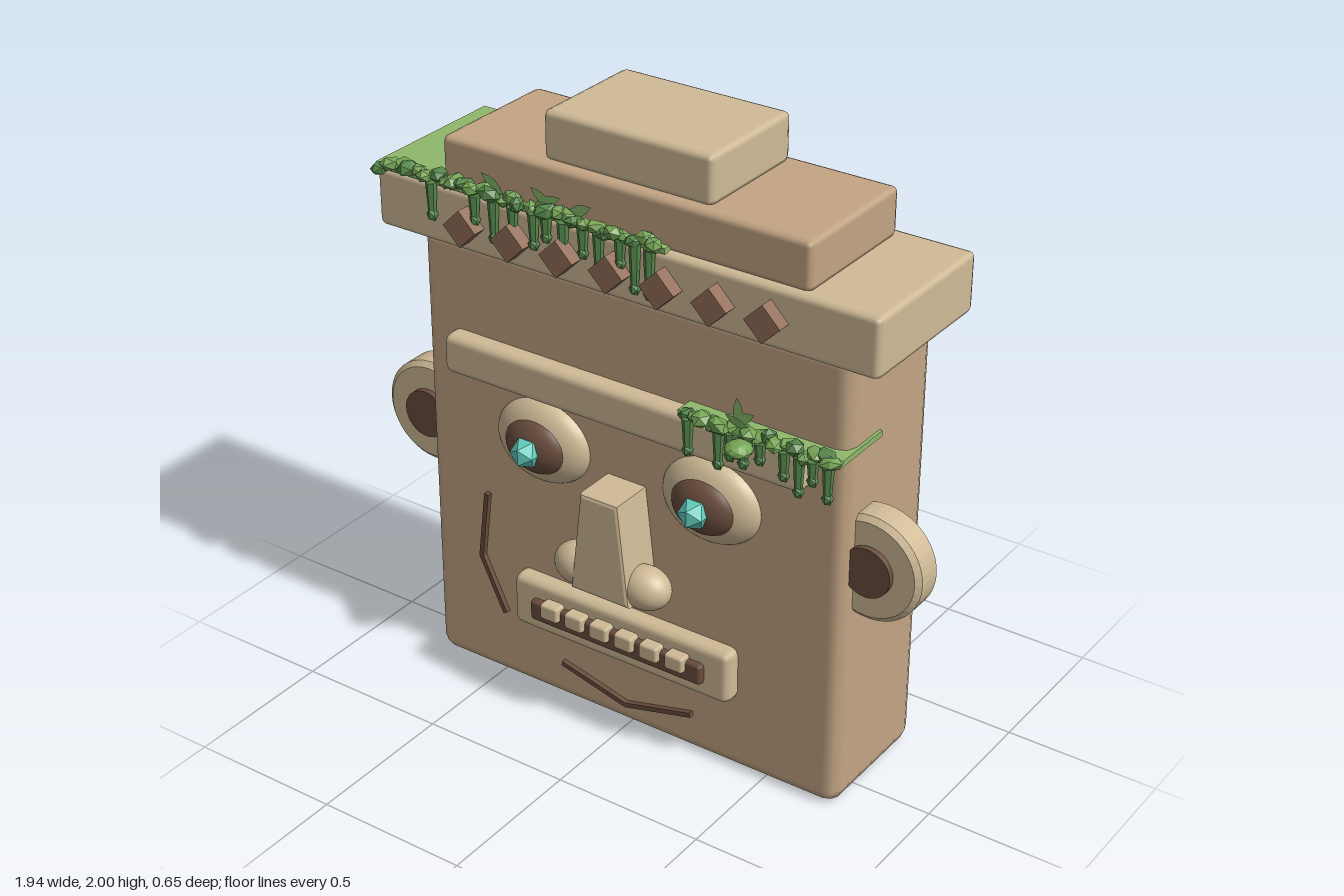
import * as THREE from 'three';
import { RoundedBoxGeometry } from 'three/addons/geometries/RoundedBoxGeometry.js';

const mat = (color, flatShading = false) => {
  const m = new THREE.MeshStandardMaterial({ flatShading });
  m.color.set(color);
  return m;
};
const clay = mat(0xc3a584), stone = mat(0xd0bb97), stoneFlat = mat(0xd0bb97, true);
const brown = mat(0x6a4d3d), diamondBrown = mat(0x936f59, true), gem = mat(0x62cdbd, true);
const mossTop = mat(0x8fb76b), moss = mat(0x76a656, true), mossDark = mat(0x54864a, true);
const leafMat = mat(0x86b968, true);
leafMat.side = THREE.DoubleSide;

export function createModel() {
  const root = new THREE.Group();

  const add = (name, geo, material, x = 0, y = 0, z = 0, parent = root) => {
    const m = new THREE.Mesh(geo, material);
    m.name = name;
    m.position.set(x, y, z);
    parent.add(m);
    return m;
  };
  // Chamfered block given by its limits on each axis
  const block = (name, material, [x0, x1], [y0, y1], [z0, z1], r = 0.02) =>
    add(name, new RoundedBoxGeometry(x1 - x0, y1 - y0, z1 - z0, 1, r), material,
      (x0 + x1) / 2, (y0 + y1) / 2, (z0 + z1) / 2);
  const group = (name) => {
    const g = new THREE.Group();
    g.name = name;
    root.add(g);
    return g;
  };
  let seed = 7;
  const rand = (a, b) => {
    seed = (seed * 16807) % 2147483647;
    return a + (b - a) * (seed / 2147483647);
  };

  // Head slab and stepped hat
  block('head', clay, [-0.755, 0.755], [0, 1.52], [-0.315, 0.145], 0.045);
  block('hatBrim', stone, [-0.87, 0.87], [1.51, 1.7], [-0.32, 0.2]);
  block('hatMiddle', clay, [-0.635, 0.635], [1.695, 1.85], [-0.285, 0.175]);
  block('hatTop', stone, [-0.29, 0.29], [1.845, 2], [-0.26, 0.14]);

  // Row of diamonds on the brim
  const diamonds = group('brimDiamonds');
  for (let i = 0; i < 7; i++) {
    add('diamond', new THREE.BoxGeometry(0.084, 0.084, 0.06), diamondBrown,
      -0.525 + i * 0.175, 1.603, 0.215, diamonds).rotation.z = Math.PI / 4;
  }

  // Brow and mouth with teeth
  block('brow', stone, [-0.64, 0.64], [1.08, 1.21], [0.1, 0.205], 0.025);
  block('mouth', stone, [-0.4, 0.405], [0.26, 0.44], [0.1, 0.2], 0.025);
  block('mouthSlot', brown, [-0.32, 0.32], [0.312, 0.383], [0.15, 0.222], 0.012);
  for (let i = 0; i < 6; i++) {
    const x = -0.235 + i * 0.0935;
    block('tooth', stone, [x - 0.034, x + 0.034], [0.343, 0.397], [0.17, 0.24], 0.01);
  }

  // Eyes and ears, mirrored
  const earProfile = [[0, -0.055], [0.155, -0.055], [0.172, -0.04], [0.172, 0.04], [0.155, 0.055], [0, 0.055]]
    .map(([r, h]) => new THREE.Vector2(r, h));
  for (const s of [1, -1]) {
    const eye = group(s > 0 ? 'leftEye' : 'rightEye');
    const ball = new THREE.SphereGeometry(1, 32, 20);
    add('eyeSocket', ball, stone, s * 0.305, 0.923, 0.14, eye).scale.set(0.172, 0.138, 0.075);
    add('iris', ball, brown, s * 0.305, 0.923, 0.175, eye).scale.set(0.116, 0.094, 0.065);
    add('pupilGem', new THREE.IcosahedronGeometry(0.05), gem, s * 0.305, 0.923, 0.237, eye);

    const ear = group(s > 0 ? 'leftEar' : 'rightEar');
    const rim = add('earRim', new THREE.LatheGeometry(earProfile, 40), stoneFlat, s * 0.8, 0.835, 0.033, ear);
    rim.rotation.x = Math.PI / 2;
    const inner = add('earHollow', new THREE.CylinderGeometry(0.08, 0.08, 0.05, 32), brown,
      s * 0.805, 0.835, 0.082, ear);
    inner.rotation.x = Math.PI / 2;

    add('nostril', ball, stone, s * 0.12, 0.593, 0.22).scale.set(0.087, 0.07, 0.066);
  }

  // Tapered nose bridge
  const noseShape = new THREE.Shape([[-0.095, 0.555], [0.095, 0.555], [0.058, 0.875], [-0.058, 0.875]]
    .map(([x, y]) => new THREE.Vector2(x, y)));
  add('nose', new THREE.ExtrudeGeometry(noseShape,
    { depth: 0.16, bevelSize: 0.012, bevelThickness: 0.012, bevelSegments: 2 }), stone, 0, 0, 0.118);

  // Cracks: thin strips laid along a bent line
  const crack = (name, pts) => {
    for (let i = 0; i < pts.length - 1; i++) {
      const [[ax, ay], [bx, by]] = [pts[i], pts[i + 1]];
      const strip = add(name, new THREE.BoxGeometry(Math.hypot(bx - ax, by - ay) + 0.008, 0.016, 0.03),
        brown, (ax + bx) / 2, (ay + by) / 2, 0.147);
      strip.rotation.z = Math.atan2(by - ay, bx - ax);
    }
  };
  crack('cheekCrack', [[-0.527, 0.66], [-0.555, 0.43], [-0.468, 0.25]]);
  crack('chinCrack', [[-0.24, 0.14], [0, 0.08], [0.24, 0.14]]);

  // Moss: clumps along an edge, hanging drips with bulb ends
  const clumps = (g, x0, x1, y, z, n) => {
    for (let i = 0; i < n; i++) {
      const c = add('mossClump', new THREE.IcosahedronGeometry(1), i % 3 ? moss : mossDark,
        x0 + (x1 - x0) * i / (n - 1), y + rand(-0.012, 0.012), z + rand(-0.015, 0.015), g);
      c.scale.set(rand(0.027, 0.042), rand(0.019, 0.026), rand(0.02, 0.034));
      c.rotation.set(rand(-0.5, 0.5), rand(0, 3), rand(-0.3, 0.3));
    }
  };
  const drips = (g, y, z, list) => {
    for (const [x, end] of list) {
      const len = y - end;
      add('mossDrip', new THREE.CylinderGeometry(0.018, 0.011, len, 6), mossDark, x, y - len / 2, z, g);
      add('dripTip', new THREE.IcosahedronGeometry(0.018), mossDark, x, end + 0.012, z, g).scale.y = 1.3;
    }
  };
  // Pointed leaf, standing up and leaning sideways
  const leafShape = new THREE.Shape();
  leafShape.moveTo(0, 0);
  leafShape.quadraticCurveTo(0.035, 0.04, 0, 0.095);
  leafShape.quadraticCurveTo(-0.035, 0.04, 0, 0);
  const leaf = (g, x, y, z, lean, tilt = 0) =>
    add('leaf', new THREE.ShapeGeometry(leafShape, 4), leafMat, x, y, z, g).rotation.set(tilt, 0, lean);

  const hatMoss = group('hatMoss');
  add('mossSheet', new THREE.BoxGeometry(1.045, 0.018, 0.52), mossTop, -0.35, 1.706, -0.062, hatMoss);
  clumps(hatMoss, -0.845, 0.145, 1.717, 0.2, 30);
  drips(hatMoss, 1.71, 0.212, [[-0.65, 1.595], [-0.49, 1.62], [-0.42, 1.58], [-0.35, 1.62], [-0.275, 1.6],
    [-0.23, 1.635], [-0.17, 1.57], [-0.1, 1.62], [-0.045, 1.59], [0.03, 1.625], [0.08, 1.56], [0.13, 1.555]]);
  for (const [x, lean] of [[-0.4, 1], [-0.28, -1.1], [-0.22, 1], [-0.17, -1.1]]) leaf(hatMoss, x, 1.725, 0.19, lean);

  const browMoss = group('browMoss');
  add('mossSheet', new THREE.BoxGeometry(0.54, 0.018, 0.23), mossTop, 0.495, 1.219, 0.092, browMoss);
  clumps(browMoss, 0.25, 0.745, 1.222, 0.207, 17);
  drips(browMoss, 1.215, 0.215, [[0.265, 1.1], [0.37, 1.09], [0.41, 1.13], [0.455, 1.12], [0.51, 1.15],
    [0.59, 1.125], [0.64, 1.09], [0.685, 1.14], [0.735, 1.1]]);
  add('mossBall', new THREE.IcosahedronGeometry(0.042, 1), moss, 0.485, 1.22, 0.285, browMoss).scale.y = 0.6;
  leaf(browMoss, 0.43, 1.23, 0.2, 0.1);
  leaf(browMoss, 0.4, 1.235, 0.2, -1);
  leaf(browMoss, 0.47, 1.225, 0.2, 1.1, 0.2);

  return root;
}
